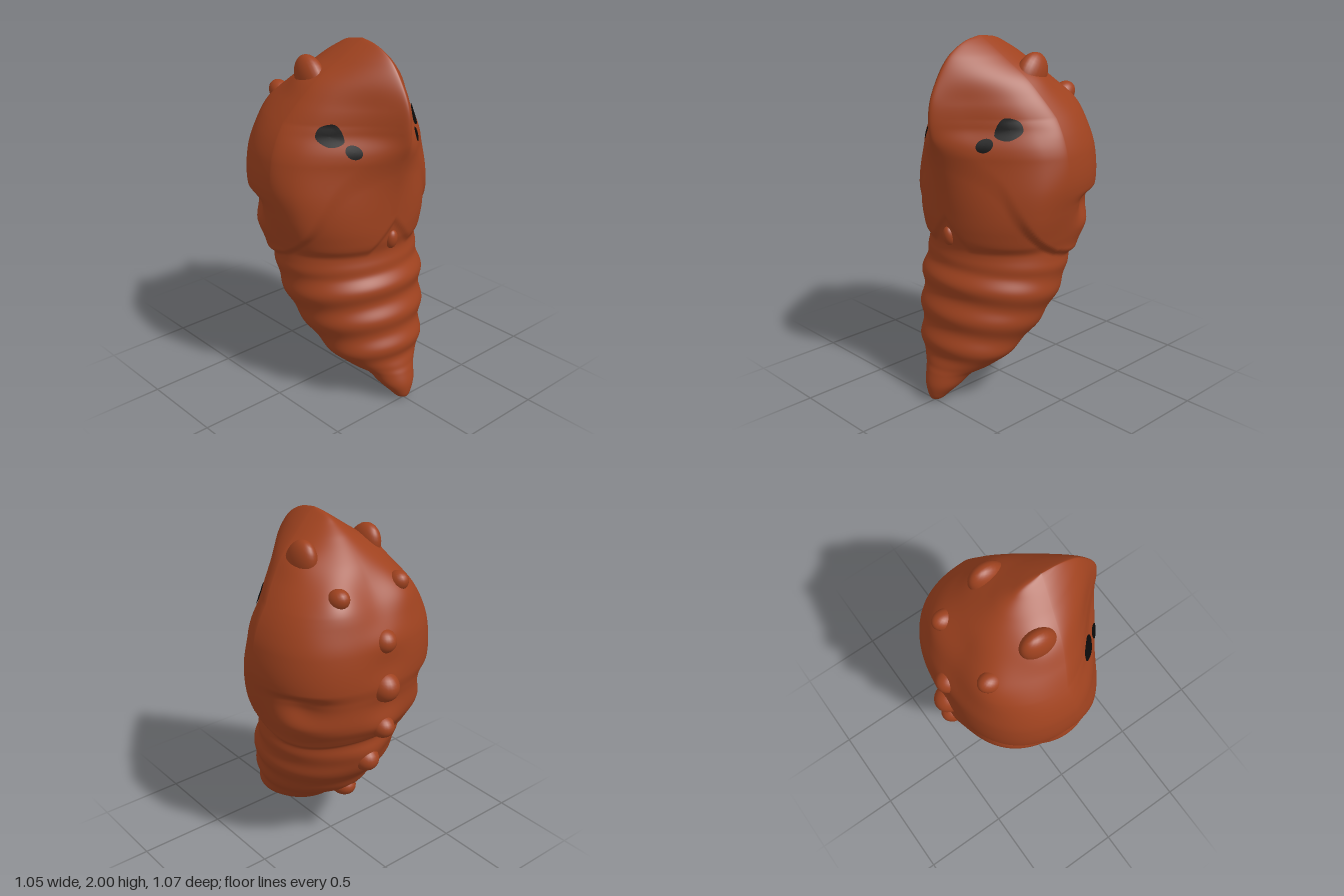
import * as THREE from 'three';

// Body profile: height, half width, front z, back z
const PROFILE = [
  [0, 0.004, 0.505, 0.485], [0.015, 0.035, 0.525, 0.45], [0.05, 0.065, 0.535, 0.4], [0.1, 0.105, 0.535, 0.33],
  [0.165, 0.145, 0.515, 0.23], [0.2, 0.197, 0.5, 0.095], [0.27, 0.272, 0.485, 0.015], [0.35, 0.317, 0.48, -0.095],
  [0.45, 0.36, 0.465, -0.2], [0.6, 0.41, 0.435, -0.3], [0.7, 0.425, 0.418, -0.335], [0.82, 0.422, 0.38, -0.35],
  [0.88, 0.42, 0.37, -0.38], [0.95, 0.435, 0.385, -0.415], [1.1, 0.47, 0.4, -0.435], [1.25, 0.495, 0.423, -0.445],
  [1.4, 0.483, 0.458, -0.435], [1.5, 0.452, 0.485, -0.41], [1.6, 0.4, 0.494, -0.37], [1.7, 0.34, 0.483, -0.305],
  [1.8, 0.26, 0.44, -0.23], [1.9, 0.14, 0.37, -0.115], [1.95, 0.075, 0.305, -0.035], [1.985, 0.025, 0.225, 0.04],
  [2, 0.002, 0.142, 0.138],
];
// Lower edge height of the wing cases by angle (-90 back, 0 side, 90 front)
const WING_EDGE = [[-90, 0.82], [-30, 0.82], [0, 0.86], [20, 0.95], [38, 1.1], [46, 1.22], [60, 1.33], [90, 1.42]];

// Knobs and horns: name, centre, radii, tilt; those off the middle are mirrored
const BUMPS = [
  ['backKnob', [0, 1.43, -0.43], [0.065, 0.065, 0.072], 0],
  ['backKnob', [0, 1.17, -0.44], [0.08, 0.085, 0.092], 0],
  ['backKnob', [0, 0.925, -0.43], [0.065, 0.065, 0.08], 0],
  ['backKnob', [0, 0.66, -0.3], [0.075, 0.075, 0.09], 0],
  ['backKnob', [0, 0.385, -0.11], [0.07, 0.065, 0.088], 0],
  ['HeadHorn', [0.215, 1.795, -0.025], [0.065, 0.127, 0.1], -0.6],
  ['ShoulderKnob', [0.2, 1.665, -0.3], [0.055, 0.058, 0.075], 0.5],
];

// Smooth interpolation through a table keyed by its first column
function sample(table, t, k) {
  const n = table.length - 1;
  let i = 0;
  while (i < n - 1 && t > table[i + 1][0]) i++;
  const slope = j => {
    const a = table[Math.max(j - 1, 0)], b = table[Math.min(j + 1, n)];
    return (b[k] - a[k]) / (b[0] - a[0]);
  };
  const a = table[i], b = table[i + 1], h = b[0] - a[0], u = (t - a[0]) / h;
  const u2 = u * u, u3 = u2 * u;
  return (2 * u3 - 3 * u2 + 1) * a[k] + (u3 - 2 * u2 + u) * h * slope(i)
    + (3 * u2 - 2 * u3) * b[k] + (u3 - u2) * h * slope(i + 1);
}
const step = (x, a, b) => THREE.MathUtils.smoothstep(x, a, b);
const lerp = THREE.MathUtils.lerp;
const gauss = x => Math.exp(-x * x);

// Point on the body skin at height y and angle theta (front at 90 degrees)
function skin(y, theta) {
  const w = Math.max(sample(PROFILE, y, 1), 0.001);
  const zf = sample(PROFILE, y, 2), zb = sample(PROFILE, y, 3);
  const zc = lerp((zf + zb) / 2, y > 1.6 ? (y - 1.6) * 0.35 : 0, step(y, 0.6, 1));
  const c = Math.cos(theta), s = Math.sin(theta), front = s > 0;
  // The face narrows to a rounded keel, with hollow cheeks higher up
  const keel = step(y, 1, 1.45);
  const a = front ? 2 - 0.95 * keel - 0.42 * step(y, 1.4, 1.56) * (1 - step(y, 1.68, 1.92))
    : 2 + 0.5 * step(y, 0.7, 1) * (1 - step(y, 1.6, 1.9));
  const b = front ? 2 - 0.5 * keel : a;
  const ca = Math.abs(c), round = front ? 0.25 * keel : 0;
  const x = Math.sign(c) * w * lerp(ca ** (2 / a), ca, round);
  const z = zc + (front ? zf - zc : zb - zc) * Math.abs(s) ** (2 / b);
  const ax = Math.abs(x);

  // Soft tilted abdomen rings, fainter at the back
  const ring = Math.cos(2 * Math.PI * (y - 0.18 * z - 0.613) / 0.185);
  let d = 0.011 * ring * (0.7 + 0.3 * s) * step(y, 0.2, 0.3) * (1 - step(y, 0.74, 0.84));
  // Raised wing cases, crisp at the sides and fading into the face
  const edge = sample(WING_EDGE, THREE.MathUtils.radToDeg(Math.asin(s)), 1);
  const fade = 1 - step(y, 1.55, 1.85), soft = step(s, 0.35, 0.8);
  d += 0.03 * (1 - 0.75 * soft) * step(y, edge - 0.012 - 0.06 * soft, edge + 0.025 + 0.08 * soft) * fade;
  // Dimple on each wing case
  d -= 0.055 * gauss((z + 0.25) / 0.12) * step(y, 0.96, 1.1) * (1 - step(y, 1.13, 1.2));
  if (front) {
    // Notched front lip
    const lip = 0.89 + 0.16 * Math.max(0, 1 - ax / 0.14);
    d += 0.014 * step(y, lip - 0.02, lip + 0.035) * (1 - step(y, 1.0, 1.4)) * step(s, 0, 0.5);
  } else {
    // Shallow valley along the back
    d -= 0.02 * gauss(x / 0.12) * step(y, 0.9, 1.1) * fade;
  }
  // Swelling around the foot of every bump
  for (const [, p] of BUMPS) d += 0.024 * gauss(Math.hypot(ax - p[0], y - p[1], z - p[2]) / 0.11);
  const len = Math.hypot(x, z - zc) || 1;
  d *= step(len, 0, 0.06);
  return new THREE.Vector3(x + d * x / len, y, z + d * (z - zc) / len);
}

function indexed(points, index) {
  const g = new THREE.BufferGeometry().setFromPoints(points);
  g.setIndex(index);
  g.computeVertexNormals();
  return g;
}

function bodyGeometry(rows = 240, cols = 192) {
  const pts = [], idx = [];
  for (let j = 0; j <= rows; j++) {
    const u = j / rows, y = 2 * (0.8 * u + 0.2 * (1 - Math.cos(Math.PI * u)) / 2);
    for (let i = 0; i < cols; i++) pts.push(skin(y, i / cols * Math.PI * 2));
  }
  for (let j = 0; j < rows; j++) for (let i = 0; i < cols; i++) {
    const a = j * cols + i, b = j * cols + (i + 1) % cols, c = a + cols, e = b + cols;
    idx.push(a, c, b, b, c, e);
  }
  return indexed(pts, idx);
}

// Front skin point at a given x, y, lifted slightly
function onFront(x, y) {
  let lo = 0, hi = Math.PI / 2;
  for (let k = 0; k < 30; k++) {
    const m = (lo + hi) / 2;
    if (skin(y, m).x > Math.abs(x)) lo = m; else hi = m;
  }
  const p = skin(y, lo);
  return new THREE.Vector3((p.x + 0.004) * Math.sign(x), y, p.z + 0.005);
}

// Thin patch that follows the skin inside a rounded anticlockwise outline
function patchGeometry(outline, side) {
  const n = 28, rings = 5, pts = [], idx = [];
  const curve = new THREE.CatmullRomCurve3(outline.map(([x, y]) => new THREE.Vector3(x, y, 0)), true);
  const rim = curve.getPoints(n).slice(0, n);
  const mid = rim.reduce((m, p) => m.addScaledVector(p, 1 / n), new THREE.Vector3());
  for (let r = 0; r <= rings; r++) for (const p of rim) {
    const q = mid.clone().lerp(p, r / rings);
    pts.push(onFront(q.x * side, q.y));
  }
  for (let r = 0; r < rings; r++) for (let i = 0; i < n; i++) {
    const a = r * n + i, b = r * n + (i + 1) % n, c = a + n, e = b + n;
    if (side > 0) idx.push(a, c, b, b, c, e); else idx.push(a, b, c, b, e, c);
  }
  return indexed(pts, idx);
}

export function createModel() {
  const group = new THREE.Group();
  const shell = new THREE.MeshStandardMaterial({ color: 0x9f421f });
  shell.name = 'russet shell';
  const black = new THREE.MeshStandardMaterial({ color: 0x0a0a0a, side: THREE.DoubleSide });
  black.name = 'eye black';
  const add = (name, geo, mat) => {
    const m = new THREE.Mesh(geo, mat);
    m.name = name;
    group.add(m);
    return m;
  };
  const ball = new THREE.SphereGeometry(1, 24, 16);
  const bump = (name, [x, y, z], size, tilt, side = 1) => {
    const m = add(name, ball, shell);
    m.position.set(x * side, y, z);
    m.scale.set(...size);
    m.rotation.x = tilt;
  };

  add('body', bodyGeometry(), shell);

  // Knobs down the back, mirrored horns and shoulder knobs
  for (const [name, pos, size, tilt] of BUMPS) {
    if (pos[0] === 0) bump(name, pos, size, tilt);
    else for (const side of [1, -1]) bump((side > 0 ? 'left' : 'right') + name, pos, size, tilt, side);
  }
  // Small beak under the front lip
  bump('beak', [0, 0.945, 0.38], [0.035, 0.055, 0.032], 0.15);

  // Eyes, each with a smaller spot below
  const eye = [[0.25, 1.525], [0.315, 1.5], [0.355, 1.54], [0.33, 1.595], [0.27, 1.61]];
  const spot = Array.from({ length: 8 }, (_, i) => {
    const t = i / 8 * Math.PI * 2;
    return [0.225 + 0.034 * Math.cos(t), 1.475 + 0.036 * Math.sin(t)];
  });
  for (const side of [1, -1]) {
    const name = side > 0 ? 'left' : 'right';
    add(name + 'Eye', patchGeometry(eye, side), black);
    add(name + 'EyeSpot', patchGeometry(spot, side), black);
  }
  return group;
}
